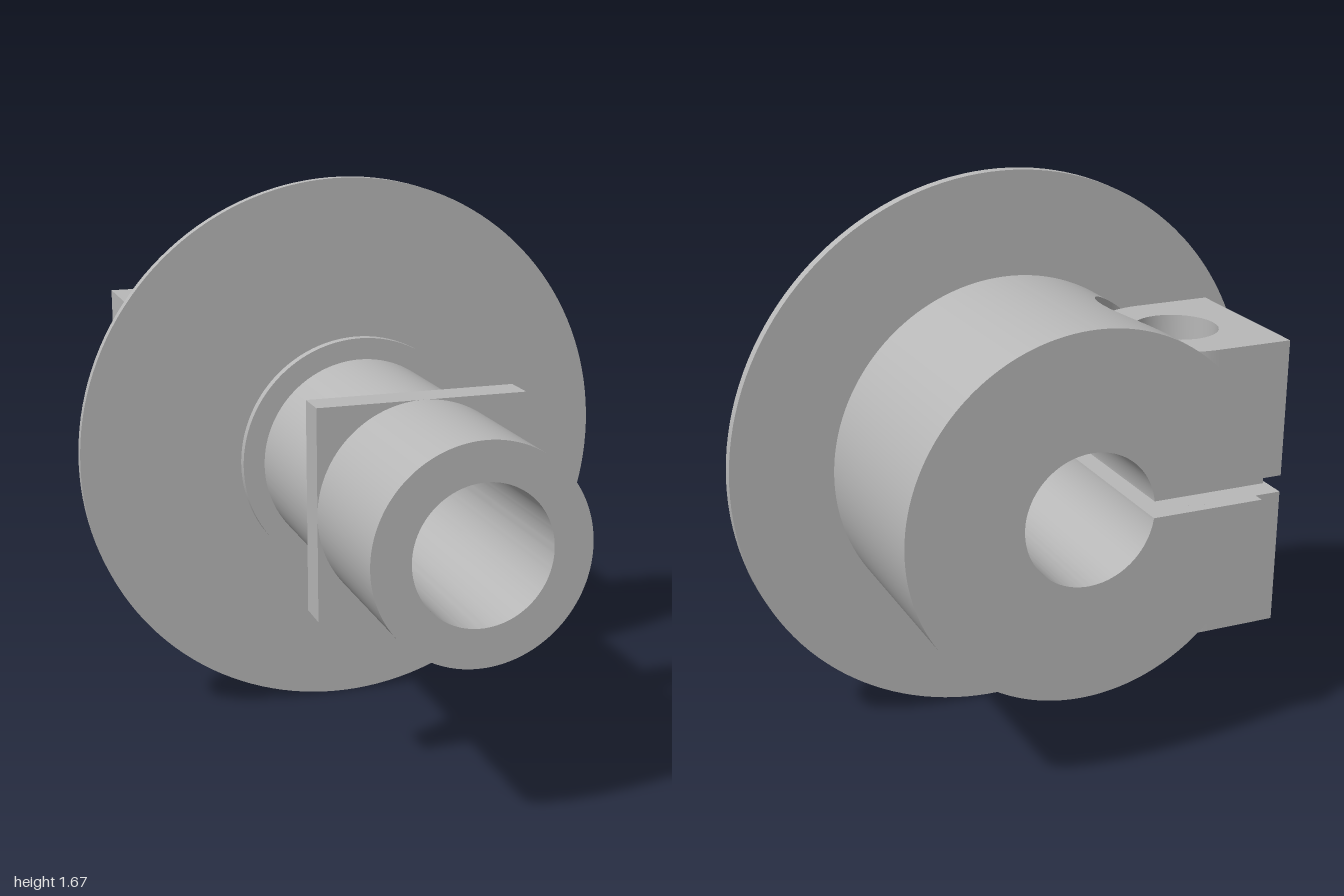
import * as THREE from 'three';
import { mergeGeometries, toCreasedNormals } from 'three/addons/utils/BufferGeometryUtils.js';

// Local frame: x runs along the shaft, y is up, z points to the clamp ears.
const BORE = 0.195, SHAFT = 0.305, CLAMP = 0.537;
const BACK = -0.8, FRONT = -0.235;               // clamp ends along the shaft
const BOLT_X = -0.538, BOLT_Z = 0.386, BOLT_R = 0.12;
const EAR_R = 0.23, EAR_END = 0.615, EAR_TOP = 0.425, SLIT = 0.025;

const metal = new THREE.MeshStandardMaterial({ color: 0xb8b8b8 });
metal.name = 'greyMetal';

const half = (r, d) => Math.sqrt(Math.max(0, r * r - d * d));

function addMesh(parent, name, geometry) {
  const mesh = new THREE.Mesh(toCreasedNormals(geometry, 0.5), metal);
  mesh.name = name;
  parent.add(mesh);
}

// Extrude a (z, y) profile along the shaft from x0 to x1
function alongShaft(shape, x0, x1) {
  const g = new THREE.ExtrudeGeometry(shape, { depth: x1 - x0, bevelEnabled: false, curveSegments: 72 });
  g.rotateY(-Math.PI / 2).translate(x1, 0, 0);
  g.deleteAttribute('uv');
  return g;
}

function drill(shape, r) {
  shape.holes.push(new THREE.Path().absarc(0, 0, r, 0, Math.PI * 2, true));
  return shape;
}

function ring(outer, inner, x0, x1) {
  const disc = new THREE.Shape().absarc(0, 0, outer, 0, Math.PI * 2, false);
  return alongShaft(drill(disc, inner), x0, x1);
}

// Solid with a rectangular section [x0, x1, y0, y1] = section(z) at each z
function loft(z0, z1, section, n = 16) {
  const pos = [];
  const rows = [];
  for (let i = 0; i <= n; i++) {
    const z = z0 + (z1 - z0) * (1 - Math.cos(Math.PI * i / n)) / 2;
    const [a, b, lo, hi] = section(z);
    rows.push([[a, lo, z], [b, lo, z], [b, hi, z], [a, hi, z]]);
  }
  const quad = (a, b, c, d) => pos.push(...a, ...b, ...c, ...a, ...c, ...d);
  for (let i = 0; i < n; i++) {
    const A = rows[i], B = rows[i + 1];
    for (let k = 0; k < 4; k++) {
      const m = (k + 1) % 4;
      quad(A[k], A[m], B[m], B[k]);
    }
  }
  const [s0, s1, s2, s3] = rows[0];
  quad(s3, s2, s1, s0);
  quad(...rows[n]);
  const g = new THREE.BufferGeometry();
  g.setAttribute('position', new THREE.Float32BufferAttribute(pos, 3));
  g.computeVertexNormals();
  return g;
}

function clampGeometry() {
  const start = BOLT_Z - EAR_R;                  // where the ear seat begins
  const slitStart = half(BORE, SLIT);
  const parts = [];

  // C-shaped body up to the ear seat
  const outer = Math.acos(start / CLAMP), inner = Math.acos(start / BORE);
  const body = new THREE.Shape();
  body.absarc(0, 0, CLAMP, outer, Math.PI * 2 - outer, false);
  body.absarc(0, 0, BORE, Math.PI * 2 - inner, inner, true);
  body.closePath();
  parts.push(alongShaft(body, BACK, FRONT));

  // Half widths of the ear and of the bolt hole at z
  const earW = z => (z < BOLT_Z ? half(EAR_R, z - BOLT_Z) : EAR_R);
  const holeW = z => half(BOLT_R, z - BOLT_Z);
  const low = z => Math.max(SLIT, half(BORE, z));
  const round = z => Math.max(SLIT, half(CLAMP, z));

  // Upper and lower jaws mirror each other across the slit
  for (const up of [true, false]) {
    const add = (z0, z1, xa, xb, top) => parts.push(loft(z0, z1, z => {
      const lo = low(z), hi = top(z);
      return up ? [xa(z), xb(z), lo, hi] : [xa(z), xb(z), -hi, -lo];
    }));
    const left = z => BOLT_X - earW(z), right = z => BOLT_X + earW(z);
    const flat = () => EAR_TOP;

    // Round jaw on both sides of the ear
    const cuts = [start, slitStart, BOLT_Z, half(CLAMP, SLIT)];
    for (let i = 0; i < 3; i++) {
      add(cuts[i], cuts[i + 1], () => BACK, left, round);
      add(cuts[i], cuts[i + 1], right, () => FRONT, round);
    }
    // Ear with its seat and bolt hole
    const h0 = BOLT_Z - BOLT_R, h1 = BOLT_Z + BOLT_R;
    add(start, slitStart, left, right, flat);
    add(slitStart, h0, left, right, flat);
    add(h0, h1, left, z => BOLT_X - holeW(z), flat);
    add(h0, h1, z => BOLT_X + holeW(z), right, flat);
    add(h1, EAR_END, left, right, flat);
  }
  return mergeGeometries(parts);
}

export function createModel() {
  const model = new THREE.Group();
  model.name = 'clampHub';

  const hub = new THREE.Group();
  hub.name = 'hub';
  hub.rotation.y = -Math.PI / 6;
  hub.position.set(-0.026, 0.835, 0.045);
  model.add(hub);

  addMesh(hub, 'splitClamp', clampGeometry());
  addMesh(hub, 'hollowShaft', ring(SHAFT, BORE, FRONT, 1.003));
  addMesh(hub, 'largeDisc', ring(0.835, 0.28, -0.193, -0.16));
  addMesh(hub, 'collar', ring(0.37, 0.28, -0.033, -0.003));

  // Square plate around the shaft
  const s = SHAFT;
  const square = new THREE.Shape([[-s, -s], [s, -s], [s, s], [-s, s]].map(p => new THREE.Vector2(...p)));
  addMesh(hub, 'squarePlate', alongShaft(drill(square, 0.28), 0.45, 0.55));

  return model;
}
